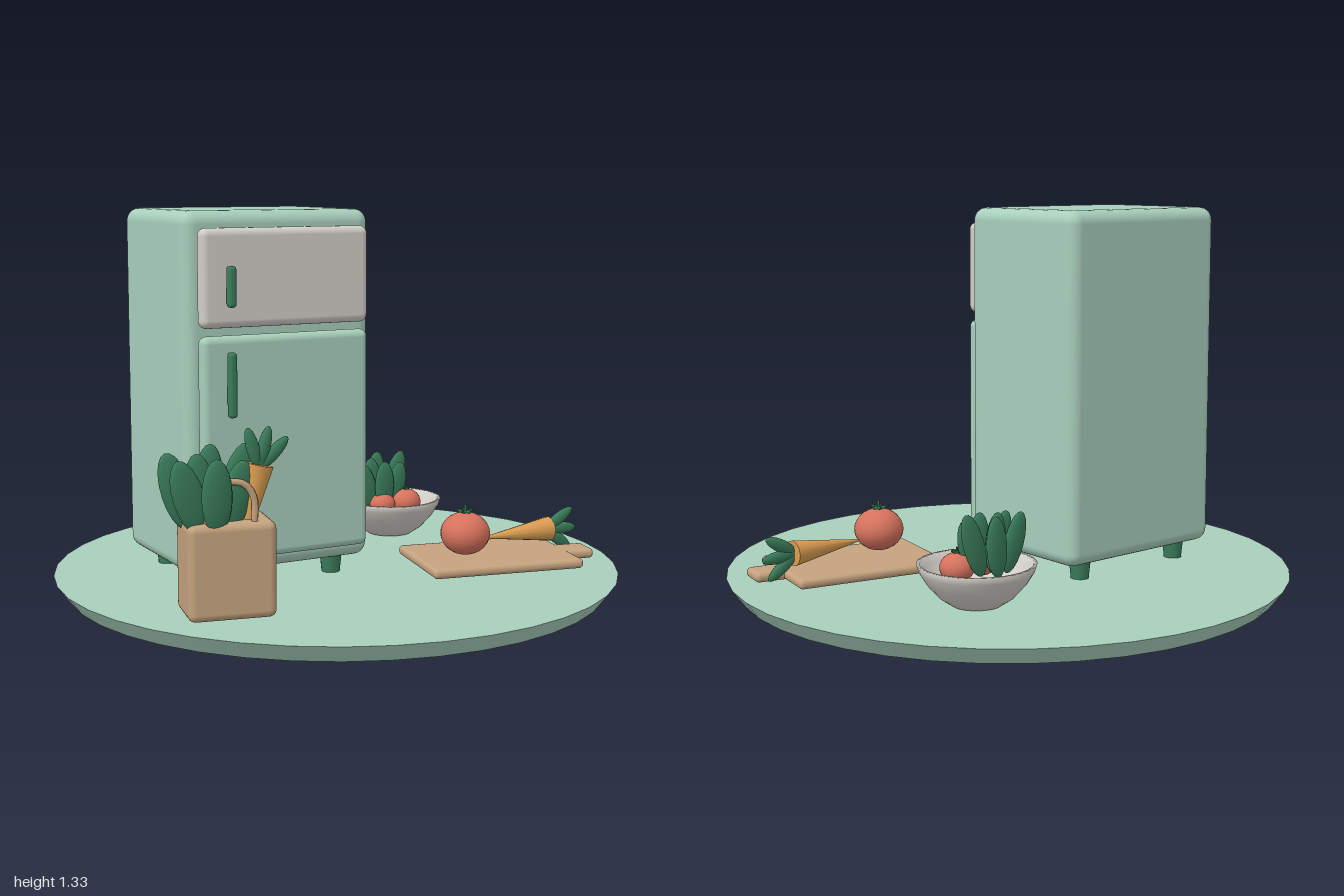
import * as THREE from 'three';
import { RoundedBoxGeometry } from 'three/addons/geometries/RoundedBoxGeometry.js';

const mat = (name, color, side = THREE.FrontSide) => {
  const m = new THREE.MeshStandardMaterial({ color, side });
  m.name = name;
  return m;
};

export function createModel() {
  const mint = mat('mint', 0xa8cfbc);
  const grey = mat('warmGrey', 0xd2cec8);
  const bowlGrey = mat('bowlGrey', 0xd2cec8, THREE.DoubleSide);
  const green = mat('leafGreen', 0x3a7d5a);
  const tan = mat('tan', 0xc4a27d);
  const red = mat('tomatoRed', 0xd6725c);
  const orange = mat('carrotOrange', 0xdb9d52);

  const root = new THREE.Group();
  root.name = 'kitchenScene';

  const add = (parent, name, geo, material, x = 0, y = 0, z = 0) => {
    const m = new THREE.Mesh(geo, material);
    m.name = name;
    m.position.set(x, y, z);
    parent.add(m);
    return m;
  };
  const group = (parent, name, x = 0, y = 0, z = 0) => {
    const g = new THREE.Group();
    g.name = name;
    g.position.set(x, y, z);
    parent.add(g);
    return g;
  };
  const rbox = (w, h, d, r) => new RoundedBoxGeometry(w, h, d, 3, r);

  // Leaf: flattened ellipsoid growing from its base, tilted about z and x
  const leafGeo = new THREE.SphereGeometry(1, 12, 10);
  const leaf = (parent, x, y, z, len, wid, thick, tilt, lean = 0) => {
    const pivot = group(parent, 'leaf', x, y, z);
    pivot.rotation.set(lean, 0, tilt);
    add(pivot, 'leafBlade', leafGeo, green, 0, len / 2, 0).scale.set(wid / 2, len / 2, thick / 2);
  };

  // Leafy bunch: [x, z, tilt, length] per leaf
  const bunch = (parent, x, y, z, s) => {
    const g = group(parent, 'leafyGreens', x, y, z);
    g.scale.setScalar(s);
    [
      [0.0, 0.075, 0.03, 0.24], [-0.045, 0.045, 0.32, 0.25], [0.05, 0.05, -0.22, 0.23],
      [-0.015, 0.01, 0.12, 0.25], [0.055, -0.01, -0.32, 0.28],
      [-0.05, -0.035, 0.3, 0.26], [0.02, -0.07, -0.1, 0.26],
    ].forEach(([lx, lz, t, len]) => leaf(g, lx, 0, lz, len, 0.105, 0.04, t, lz * 0.6));
  };

  // Carrot: cone with tip at the origin and three fanned leaves
  const carrot = (parent, x, y, z, tilt) => {
    const g = group(parent, 'carrot', x, y, z);
    g.rotation.z = tilt;
    add(g, 'carrotRoot', new THREE.CylinderGeometry(0.045, 0.004, 0.28, 12), orange, 0, 0.14, 0);
    [-0.6, -0.05, 0.5].forEach((t) => leaf(g, 0, 0.265, 0, 0.14, 0.045, 0.03, t));
    return g;
  };

  // Tomato: squashed sphere with a five-pointed calyx and stem
  const tomato = (parent, x, y, z, r) => {
    const g = group(parent, 'tomato', x, y, z);
    g.scale.setScalar(r);
    add(g, 'tomatoBody', new THREE.SphereGeometry(1, 20, 14), red).scale.y = 0.86;
    for (let i = 0; i < 5; i++) {
      const arm = group(g, 'calyxArm', 0, 0.84, 0);
      arm.rotation.y = (i * Math.PI * 2) / 5;
      const tip = add(arm, 'calyxLeaf', new THREE.ConeGeometry(0.13, 0.5, 6), green, 0.25, 0.08, 0);
      tip.rotation.z = -1.25;
      tip.scale.z = 0.9;
    }
    add(g, 'tomatoStem', new THREE.CylinderGeometry(0.05, 0.07, 0.36, 6), green, 0, 1.0, 0);
  };

  // Round base
  add(root, 'base', new THREE.CylinderGeometry(1, 0.955, 0.06, 40), mint, 0, 0.03, 0);

  // Refrigerator
  const fridge = group(root, 'refrigerator', -0.295, 0, 0);
  add(fridge, 'cabinet', rbox(0.69, 1.21, 0.545, 0.045), mint, 0, 0.725, -0.1175);
  add(fridge, 'freezerDoor', rbox(0.615, 0.325, 0.055, 0.026), grey, -0.0025, 1.1125, 0.191);
  add(fridge, 'mainDoor', rbox(0.615, 0.75, 0.055, 0.026), mint, -0.0025, 0.55, 0.191);
  [[1.087, 0.135], [0.767, 0.215]].forEach(([y, h]) =>
    add(fridge, 'doorHandle', rbox(0.03, h, 0.03, 0.012), green, -0.215, y, 0.24));
  for (const x of [-0.23, 0.23])
    for (const z of [0.08, -0.31])
      add(fridge, 'foot', new THREE.CylinderGeometry(0.04, 0.032, 0.08, 12), green, x, 0.098, z);

  // Grocery bag with two handles, greens and a carrot
  const bag = group(root, 'groceryBag', -0.615, 0, 0.415);
  const bagShell = group(bag, 'bagShell');
  bagShell.rotation.y = -0.2;
  add(bagShell, 'bagBody', rbox(0.285, 0.31, 0.2, 0.025), tan, 0, 0.22, 0);
  for (const z of [-0.07, 0.07]) {
    const arch = new THREE.CatmullRomCurve3([
      [-0.075, 0.36], [-0.073, 0.45], [-0.04, 0.495], [0.04, 0.495], [0.073, 0.45], [0.075, 0.36],
    ].map(([x, y]) => new THREE.Vector3(x, y, z)));
    add(bagShell, 'bagHandle', new THREE.TubeGeometry(arch, 20, 0.011, 8), tan);
  }
  bunch(bag, -0.06, 0.34, -0.005, 1);
  carrot(bag, 0.035, 0.27, 0.045, -0.22);

  // Bowl with greens and two tomatoes
  const bowl = group(root, 'bowl', 0.418, 0.06, -0.34);
  const profile = [
    [0, 0.003], [0.085, 0.003], [0.125, 0.03], [0.165, 0.075], [0.19, 0.115], [0.198, 0.14],
    [0.186, 0.14], [0.176, 0.115], [0.15, 0.075], [0.11, 0.04], [0.07, 0.022], [0, 0.02],
  ].map(([x, y]) => new THREE.Vector2(x, y));
  add(bowl, 'bowlShell', new THREE.LatheGeometry(profile, 36), bowlGrey);
  bunch(bowl, -0.045, 0.1, -0.02, 0.8);
  tomato(bowl, -0.055, 0.125, 0.04, 0.05);
  tomato(bowl, 0.05, 0.125, 0.04, 0.058);

  // Cutting board with tomato and carrot
  const board = group(root, 'cuttingBoard', 0.48, 0.088, 0.27);
  board.rotation.y = -0.2;
  add(board, 'boardPlate', rbox(0.56, 0.035, 0.39, 0.016), tan);
  add(board, 'boardGrip', rbox(0.15, 0.035, 0.11, 0.016), tan, 0.305, 0, 0.012);
  tomato(root, 0.365, 0.19, 0.285, 0.088);
  const lying = carrot(root, 0.455, 0.163, 0.282, -Math.PI / 2);
  lying.rotation.set(0, 0.04, -Math.PI / 2);

  return root;
}
